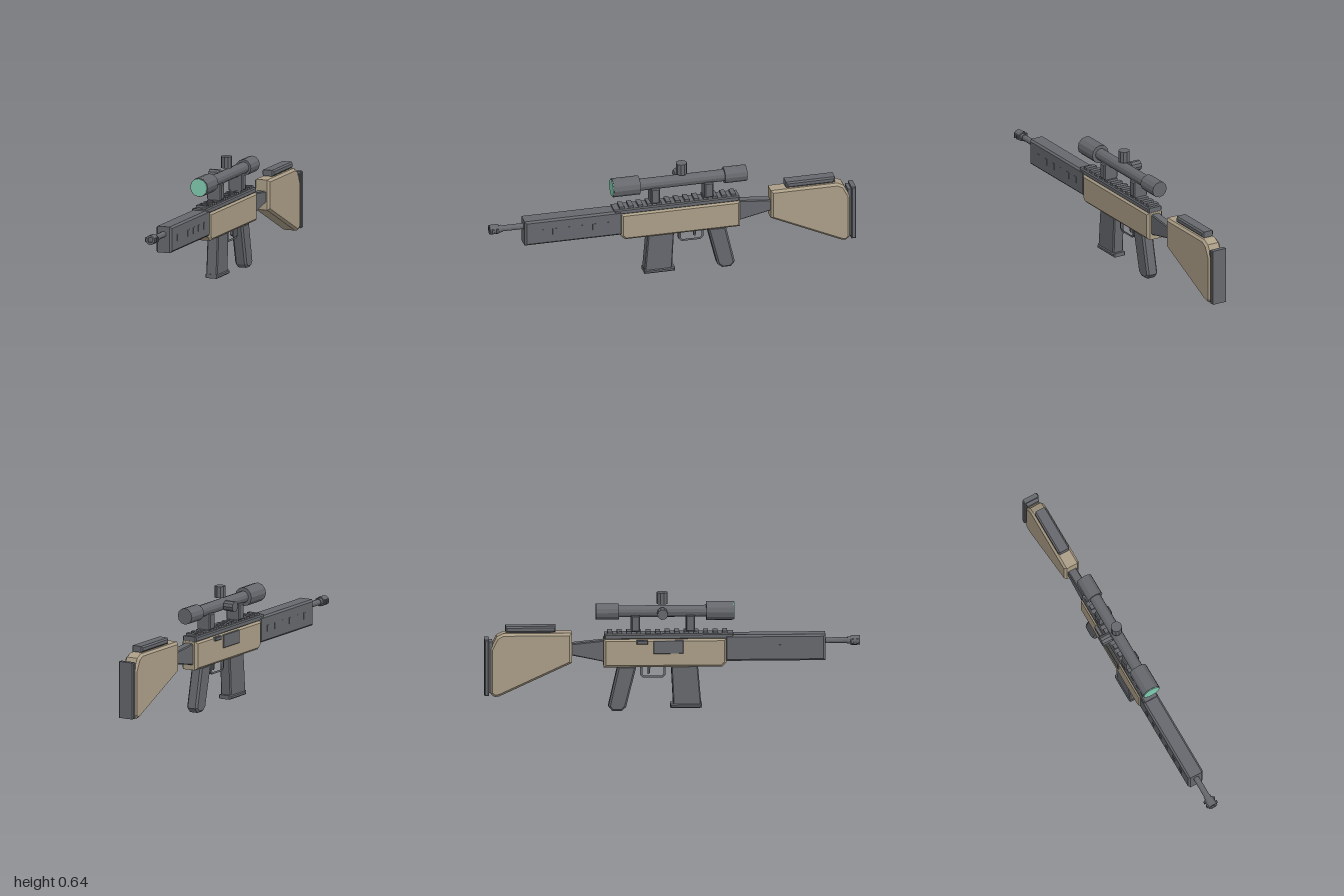
import * as THREE from 'three';

const gunmetal = new THREE.MeshStandardMaterial({ color: 0x66686d });
gunmetal.name = 'gunmetal';
const tan = new THREE.MeshStandardMaterial({ color: 0xab9e87 });
tan.name = 'tan';
const glass = new THREE.MeshStandardMaterial({ color: 0x82ccb0 });
glass.name = 'lens green';

const CX = 0.02; // centre line of the body

export function createModel() {
  const model = new THREE.Group();
  model.name = 'scopedRifle';

  const add = (name, geometry, material = gunmetal) => {
    const mesh = new THREE.Mesh(geometry, material);
    mesh.name = name;
    model.add(mesh);
    return mesh;
  };

  // Side profile of [z, y] points, extruded across x with chamfered edges
  const slab = (name, points, width, bevel = 0.008, material = gunmetal, x = CX, hole = null) => {
    const shape = new THREE.Shape(points.map(([z, y]) => new THREE.Vector2(z, y)));
    if (hole) shape.holes.push(new THREE.Path(hole.map(([z, y]) => new THREE.Vector2(z, y))));
    const depth = width - 2 * bevel;
    const g = new THREE.ExtrudeGeometry(shape, {
      depth, bevelEnabled: bevel > 0, bevelThickness: bevel,
      bevelSize: bevel, bevelOffset: -bevel, bevelSegments: 1,
    });
    g.translate(0, 0, -depth / 2).rotateY(-Math.PI / 2).translate(x, 0, 0);
    return add(name, g, material);
  };

  const rect = (z0, z1, y0, y1) => [[z0, y0], [z1, y0], [z1, y1], [z0, y1]];

  // Faceted cylinder along one axis
  const rod = (name, axis, radius, length, pos, sides = 12, material = gunmetal) => {
    const indexed = new THREE.CylinderGeometry(radius, radius, length, sides);
    if (axis === 'z') indexed.rotateX(Math.PI / 2);
    if (axis === 'x') indexed.rotateZ(-Math.PI / 2);
    const g = indexed.toNonIndexed();
    g.computeVertexNormals();
    g.translate(...pos);
    return add(name, g, material);
  };

  const box = (name, w, h, d, x, y, z, material = gunmetal) =>
    add(name, new THREE.BoxGeometry(w, h, d).translate(x, y, z), material);

  // Barrel and muzzle brake with a square bore
  rod('barrel', 'z', 0.016, 0.16, [CX, 0.375, 0.88]);
  const brake = new THREE.Shape();
  for (let i = 0; i < 12; i++) {
    const a = (i / 12) * Math.PI * 2;
    brake[i ? 'lineTo' : 'moveTo'](Math.cos(a) * 0.026, Math.sin(a) * 0.026);
  }
  const bore = 0.012;
  brake.holes.push(new THREE.Path([[-bore, -bore], [-bore, bore], [bore, bore], [bore, -bore]]
    .map(([x, y]) => new THREE.Vector2(x, y))));
  add('muzzleBrake', new THREE.ExtrudeGeometry(brake, { depth: 0.05, bevelEnabled: false })
    .translate(CX, 0.375, 0.95));
  for (const z of [0.96, 0.985]) box('brakeFin', 0.064, 0.024, 0.01, CX, 0.375, z).scale.set(1, 1, 1);
  rod('brakeCollar', 'z', 0.02, 0.02, [CX, 0.375, 0.942]);

  // Handguard with thin side slots
  slab('handguard', rect(0.28, 0.815, 0.275, 0.417), 0.09, 0.01);
  for (const side of [-1, 1]) {
    for (let i = 0; i < 6; i++) {
      box('handguardSlot', 0.004, 0.036, 0.022, CX + side * 0.045, 0.345, 0.36 + i * 0.073);
    }
  }

  // Receiver, top rail and rail teeth
  slab('receiver', [[-0.365, 0.245], [0.265, 0.245], [0.288, 0.268], [0.288, 0.4], [-0.365, 0.4]],
    0.096, 0.012, tan);
  slab('rail', rect(-0.362, 0.325, 0.396, 0.426), 0.084, 0.006);
  for (let i = 0; i < 13; i++) {
    box('railTooth', 0.064, 0.014, 0.026, CX, 0.431, 0.28 - i * 0.051);
  }

  // Ejection cover and charging handle on the right side
  slab('ejectionCover', rect(-0.1, 0.06, 0.32, 0.392), 0.012, 0.003, gunmetal, -0.028);
  slab('chargingHandle', rect(-0.19, -0.13, 0.374, 0.394), 0.02, 0.003, gunmetal, -0.03);

  // Magazine and base plate
  slab('magazine', [[0.005, 0.035], [0.155, 0.035], [0.137, 0.25], [-0.006, 0.25]], 0.064, 0.006);
  slab('magazineBase', rect(-0.01, 0.157, 0.02, 0.042), 0.074, 0.006);

  // Pistol grip
  slab('grip', [[-0.19, 0.25], [-0.245, 0.026], [-0.27, 0.004], [-0.318, 0.004],
    [-0.34, 0.03], [-0.29, 0.25]].reverse(), 0.066, 0.01);

  // Trigger and guard
  slab('triggerGuard',
    [[-0.035, 0.25], [-0.035, 0.198], [-0.05, 0.183], [-0.155, 0.183], [-0.17, 0.198], [-0.17, 0.25]],
    0.03, 0, gunmetal, CX,
    [[-0.046, 0.245], [-0.046, 0.203], [-0.055, 0.194], [-0.15, 0.194], [-0.159, 0.203], [-0.159, 0.245]]);
  slab('trigger', [[-0.11, 0.25], [-0.118, 0.225], [-0.118, 0.206], [-0.13, 0.2], [-0.132, 0.25]], 0.016, 0.002);

  // Tapered neck, stock, cheek rest and butt pad
  slab('stockNeck', [[-0.36, 0.272], [-0.36, 0.39], [-0.54, 0.372], [-0.54, 0.31]], 0.05, 0.005);
  slab('stock', [[-0.535, 0.27], [-0.535, 0.433], [-0.9, 0.433], [-0.935, 0.415], [-0.968, 0.35],
    [-0.968, 0.105], [-0.945, 0.088], [-0.92, 0.092]], 0.088, 0.012, tan);
  slab('cheekRest', rect(-0.887, -0.62, 0.437, 0.47), 0.068, 0.008);
  box('cheekRestMount', 0.04, 0.012, 0.22, CX, 0.435, -0.755);
  slab('buttPad', rect(-1, -0.975, 0.095, 0.402), 0.09, 0.005);
  box('buttPadSpacer', 0.07, 0.28, 0.02, CX, 0.25, -0.967);

  // Scope: tube, end bells, lens, turrets and mounts
  const SY = 0.542;
  rod('scopeTube', 'z', 0.032, 0.5, [CX, SY, -0.05]);
  rod('scopeObjective', 'z', 0.051, 0.146, [CX, SY, 0.254]);
  rod('scopeLens', 'z', 0.047, 0.005, [CX, SY, 0.3285], 12, glass);
  rod('scopeEyepiece', 'z', 0.044, 0.122, [CX, SY, -0.345]);
  rod('topTurret', 'y', 0.03, 0.062, [CX, 0.614, -0.053], 10);
  rod('sideTurret', 'x', 0.028, 0.058, [-0.046, SY, -0.053], 10);
  for (const z of [0.097, -0.195]) {
    slab('scopeMount', rect(z - 0.024, z + 0.024, 0.438, 0.525), 0.084, 0.006);
  }

  return model;
}
